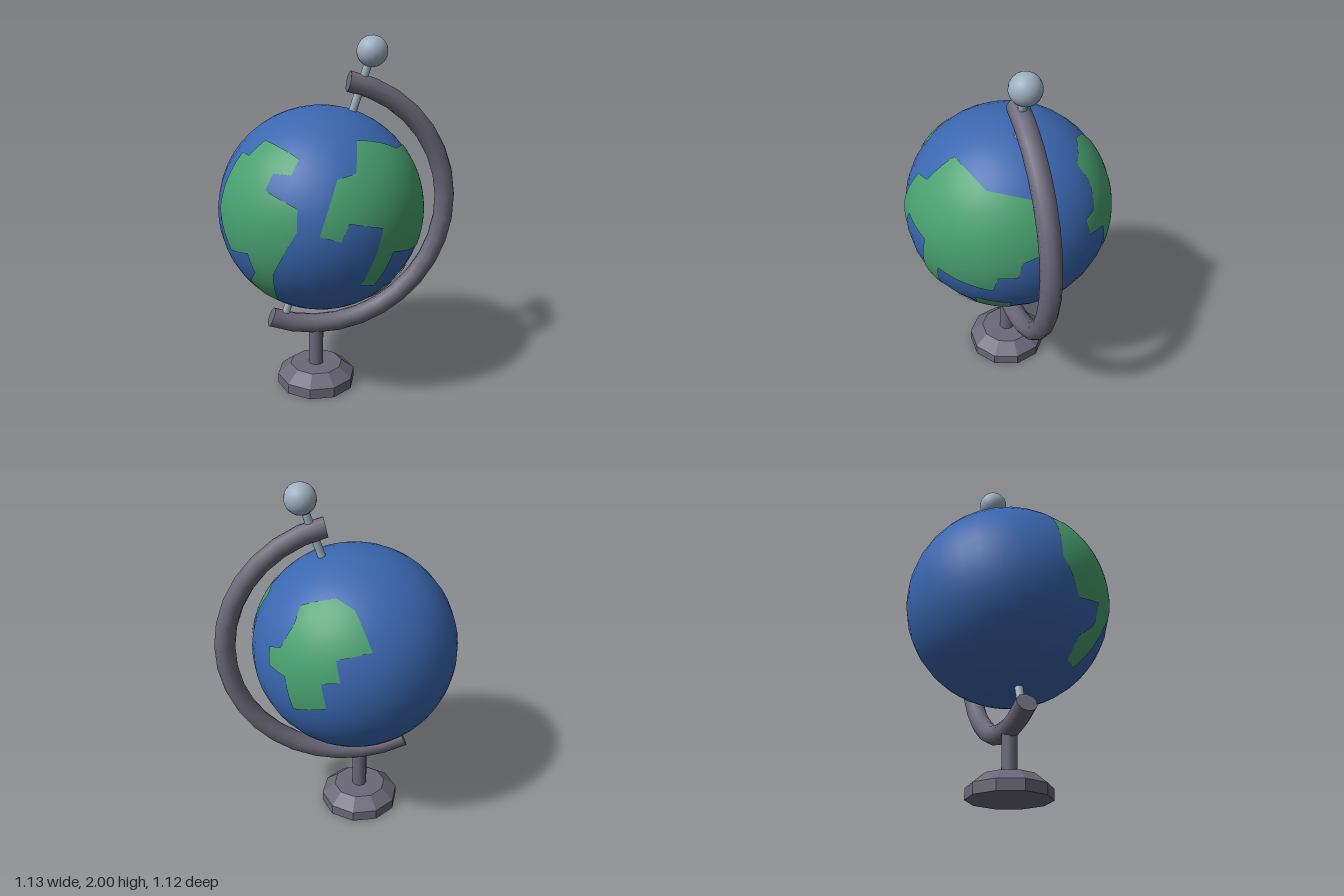
import * as THREE from 'three';

const GLOBE_R = 0.56;
const LAND_R = 0.5635;
const CENTRE = new THREE.Vector3(-0.003, 1.075, -0.003);
const AXIS = new THREE.Vector3(0.193, 0.842, 0.193).normalize();
const UP = new THREE.Vector3(0, 1, 0);

// Outlines are [across, height] as seen from one side of the globe
const LANDS = [
  { name: 'frontContinent', side: 'front', outline: [
    [-0.13, 1.52], [0.1, 1.447], [0.31, 1.41], [0.385, 1.145], [0.32, 1.115], [0.305, 1.025],
    [0.215, 1.02], [0.185, 0.918], [-0.12, 0.976], [-0.16, 0.785], [-0.25, 0.806], [-0.2, 1.12],
    [-0.353, 1.167], [-0.39, 1.08], [-0.457, 1.11], [-0.335, 1.37], [-0.25, 1.39]] },
  { name: 'southernIsland', side: 'front', outline: [
    [0.07, 0.822], [0.24, 0.8], [0.13, 0.573], [0.05, 0.589],
    [0.085, 0.642], [-0.08, 0.668], [-0.065, 0.748], [0.05, 0.737]] },
  { name: 'leftContinent', side: 'plusX', outline: [
    [0.025, 1.465], [-0.13, 1.515], [-0.235, 1.478], [-0.37, 1.31], [-0.24, 1.273],
    [-0.275, 1.167], [-0.19, 1.151], [-0.215, 1.013], [-0.025, 0.955], [0.015, 1.135],
    [0.135, 1.155], [0.145, 1.245], [0.065, 1.268], [0.02, 1.385]] },
  { name: 'rightContinent', side: 'minusX', outline: [
    [0.215, 1.24], [0.035, 1.304], [0.05, 1.383], [0.145, 1.382], [0.15, 1.453], [-0.095, 1.505],
    [-0.155, 1.43], [-0.225, 1.43], [-0.315, 1.136], [-0.212, 0.935], [-0.063, 0.964],
    [-0.046, 0.853], [-0.125, 0.771], [-0.091, 0.672], [0, 0.655], [0.08, 0.875], [0.225, 1.13]] },
];

// Lifts an outline point onto the unit sphere
function toDirection(side, [across, height]) {
  const h = height - CENTRE.y;
  const depth = Math.sqrt(Math.max(0, GLOBE_R ** 2 - across ** 2 - h ** 2));
  const v = side === 'front' ? [across, h, depth] : [side === 'plusX' ? depth : -depth, h, across];
  return new THREE.Vector3(...v).normalize();
}

// Triangulates an outline and wraps it around the globe
function landGeometry({ side, outline }) {
  const dirs = outline.map((p) => toDirection(side, p));
  const mid = dirs.reduce((sum, d) => sum.add(d), new THREE.Vector3()).normalize();
  const east = new THREE.Vector3().crossVectors(UP, mid).normalize();
  const north = new THREE.Vector3().crossVectors(mid, east);
  const flatten = (d) => new THREE.Vector2(d.dot(east), d.dot(north)).divideScalar(d.dot(mid));
  if (THREE.ShapeUtils.isClockWise(dirs.map(flatten))) dirs.reverse();

  const positions = [];
  const normals = [];
  const split = (a, b, c, level) => {
    if (level === 0) {
      for (const d of [a, b, c]) {
        normals.push(d.x, d.y, d.z);
        positions.push(d.x * LAND_R, d.y * LAND_R, d.z * LAND_R);
      }
      return;
    }
    const half = (p, q) => p.clone().add(q).normalize();
    const ab = half(a, b), bc = half(b, c), ca = half(c, a);
    split(a, ab, ca, level - 1);
    split(ab, b, bc, level - 1);
    split(ca, bc, c, level - 1);
    split(ab, bc, ca, level - 1);
  };
  for (const [i, j, k] of THREE.ShapeUtils.triangulateShape(dirs.map(flatten), [])) {
    split(dirs[i], dirs[j], dirs[k], 4);
  }
  const geometry = new THREE.BufferGeometry();
  geometry.setAttribute('position', new THREE.Float32BufferAttribute(positions, 3));
  geometry.setAttribute('normal', new THREE.Float32BufferAttribute(normals, 3));
  return geometry;
}

// Gives every face its own normal
function faceted(geometry) {
  const g = geometry.toNonIndexed();
  g.computeVertexNormals();
  return g;
}

export function createModel() {
  const material = (name, color) => {
    const m = new THREE.MeshStandardMaterial({ color });
    m.name = name;
    return m;
  };
  const ocean = material('oceanBlue', 0x3a67b0);
  const green = material('landGreen', 0x48a070);
  const grey = material('standGrey', 0x6b6879);
  const silver = material('metalSilver', 0x9dafc0);

  const model = new THREE.Group();
  model.name = 'deskGlobe';
  const addGroup = (name, position) => {
    const group = new THREE.Group();
    group.name = name;
    group.position.copy(position);
    model.add(group);
    return group;
  };
  const add = (name, geometry, mat, parent) => {
    const mesh = new THREE.Mesh(geometry, mat);
    mesh.name = name;
    parent.add(mesh);
  };

  // Foot: ten-sided slab with a bevelled top, carrying a short post
  const foot = addGroup('foot', new THREE.Vector3(-0.022, 0, -0.022));
  foot.rotation.y = Math.PI / 4;
  add('footSlab', faceted(new THREE.CylinderGeometry(0.225, 0.225, 0.06, 10).translate(0, 0.03, 0)), grey, foot);
  add('footBevel', faceted(new THREE.CylinderGeometry(0.15, 0.225, 0.06, 10).translate(0, 0.09, 0)), grey, foot);
  add('post', new THREE.CylinderGeometry(0.042, 0.042, 0.25, 12).translate(0, 0.235, 0), grey, foot);

  // Curved arm in the diagonal plane, closed by a disc at each end
  const arm = addGroup('arm', CENTRE);
  arm.rotation.y = -Math.PI / 4;
  const start = THREE.MathUtils.degToRad(-113.8);
  const arc = THREE.MathUtils.degToRad(191.6);
  const ringR = 0.705, tubeR = 0.056;
  add('armCurve', new THREE.TorusGeometry(ringR, tubeR, 10, 18, arc).rotateZ(start), grey, arm);
  for (const [name, angle, tilt] of [['armLowerEnd', start, 1], ['armUpperEnd', start + arc, -1]]) {
    const cap = new THREE.CircleGeometry(tubeR, 10).rotateX(tilt * Math.PI / 2);
    add(name, cap.translate(ringR, 0, 0).rotateZ(angle), grey, arm);
  }

  // Tilted globe, axle and finial
  const spin = addGroup('tiltedGlobe', CENTRE);
  spin.quaternion.setFromUnitVectors(UP, AXIS);
  add('globe', new THREE.SphereGeometry(GLOBE_R, 32, 24), ocean, spin);
  add('axle', new THREE.CylinderGeometry(0.022, 0.022, 1.53, 10).translate(0, 0.06, 0), silver, spin);
  add('finial', new THREE.SphereGeometry(0.083, 20, 14).translate(0, 0.885, 0), silver, spin);

  // Continents, kept upright because their outlines already include the tilt
  const continents = addGroup('continents', CENTRE);
  for (const land of LANDS) add(land.name, landGeometry(land), green, continents);

  return model;
}
